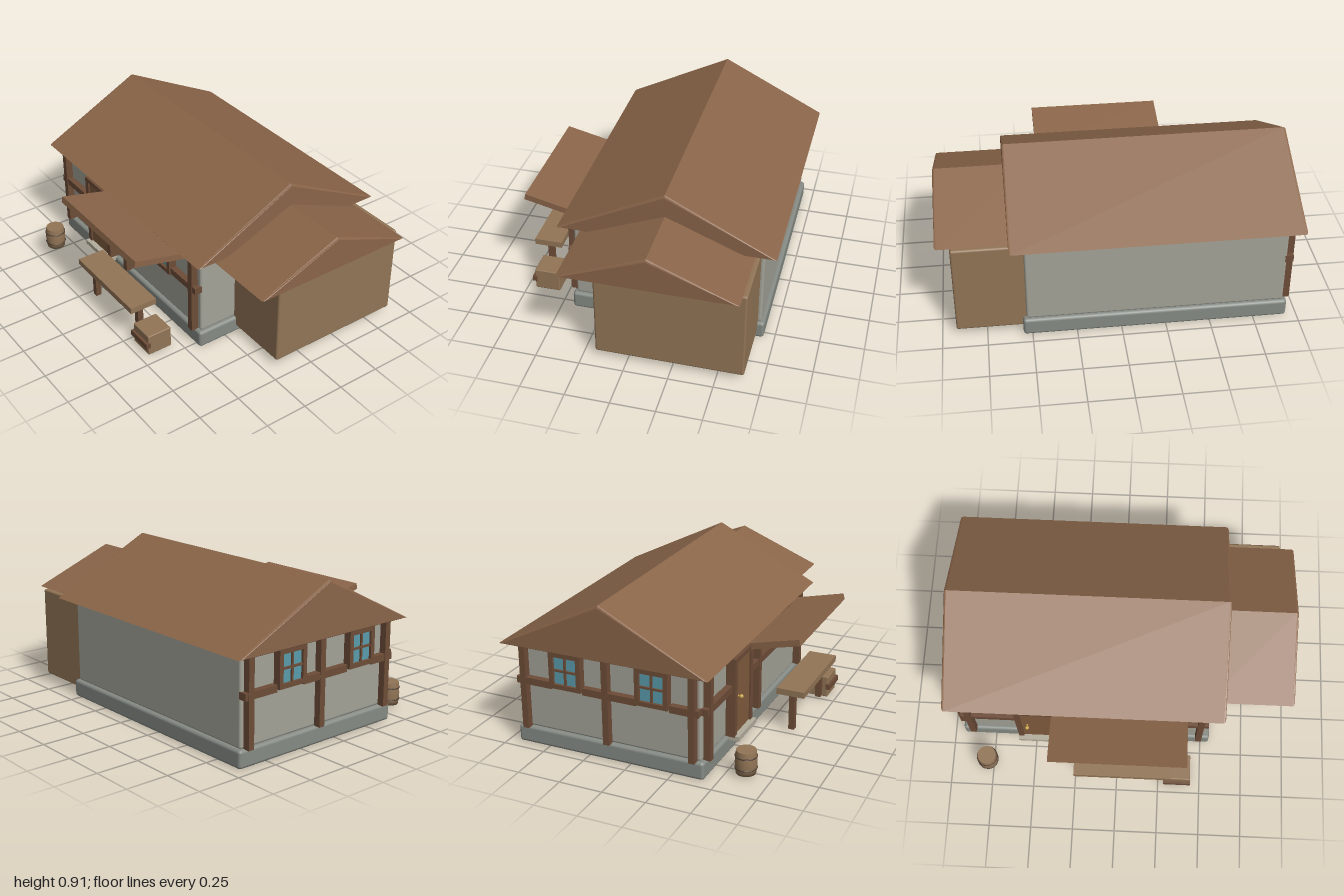
import * as THREE from 'three';
import { RoundedBoxGeometry } from 'three/addons/geometries/RoundedBoxGeometry.js';

const mat = (color) => new THREE.MeshStandardMaterial({ color });
const M = {
  roof: mat(0x8a6549), wall: mat(0xa3a398), stone: mat(0x868b85), plank: mat(0x927556),
  trim: mat(0x6e4d38), door: mat(0x805c3c), glass: mat(0x5a9bab), step: mat(0xb3ad9c),
  brass: mat(0xc9a24a), band: mat(0x4a3a2e),
};

function add(parent, name, geometry, material) {
  const mesh = new THREE.Mesh(geometry, material);
  mesh.name = name;
  parent.add(mesh);
  return mesh;
}

// Box given by its limits on each axis, optionally with rounded edges
function box(parent, name, material, [x0, x1], [y0, y1], [z0, z1], r = 0) {
  const size = [x1 - x0, y1 - y0, z1 - z0];
  const geometry = r ? new RoundedBoxGeometry(...size, 2, r) : new THREE.BoxGeometry(...size);
  const mesh = add(parent, name, geometry, material);
  mesh.position.set((x0 + x1) / 2, (y0 + y1) / 2, (z0 + z1) / 2);
  return mesh;
}

// Solid gable roof with its ridge along x and softened ends
function gable(parent, name, [x0, x1], [y0, y1], [z0, z1]) {
  const b = 0.012;
  const shape = new THREE.Shape();
  shape.moveTo(-z1, y0);
  shape.lineTo(-z0, y0);
  shape.lineTo(-(z0 + z1) / 2, y1);
  shape.closePath();
  const geometry = new THREE.ExtrudeGeometry(shape, {
    depth: x1 - x0 - 2 * b, bevelThickness: b, bevelSize: b, bevelOffset: -b, bevelSegments: 2,
  });
  geometry.rotateY(Math.PI / 2);
  geometry.translate(x0 + b, 0, 0);
  return add(parent, name, geometry, M.roof);
}

// Four-pane window facing +z, centred on its own origin
function makeWindow(name) {
  const g = new THREE.Group();
  g.name = name;
  const w = 0.095, h = 0.105, f = 0.026;
  const shape = new THREE.Shape();
  shape.moveTo(-w, -h).lineTo(w, -h).lineTo(w, h).lineTo(-w, h).closePath();
  const hole = new THREE.Path();
  hole.moveTo(f - w, f - h).lineTo(f - w, h - f).lineTo(w - f, h - f).lineTo(w - f, f - h).closePath();
  shape.holes.push(hole);
  add(g, 'windowFrame', new THREE.ExtrudeGeometry(shape, { depth: 0.045, bevelEnabled: false }), M.trim);
  box(g, 'windowGlass', M.glass, [f - w, w - f], [f - h, h - f], [0, 0.03]);
  box(g, 'windowBarVertical', M.trim, [-0.006, 0.006], [f - h, h - f], [0.02, 0.04]);
  box(g, 'windowBarHorizontal', M.trim, [f - w, w - f], [-0.006, 0.006], [0.02, 0.04]);
  return g;
}

export function createModel() {
  const house = new THREE.Group();
  house.name = 'house';

  // Main body
  box(house, 'foundation', M.stone, [-0.94, 0.55], [0, 0.103], [-0.69, 0.43], 0.018);
  box(house, 'walls', M.wall, [-0.92, 0.53], [0.1, 0.605], [-0.67, 0.41], 0.014);
  gable(house, 'mainRoof', [-1, 0.61], [0.6, 0.91], [-0.745, 0.48]);

  // Side extension
  box(house, 'extension', M.plank, [0.48, 0.92], [0.04, 0.58], [-0.65, 0.18], 0.012);
  gable(house, 'extensionRoof', [0.48, 1], [0.58, 0.78], [-0.625, 0.355]);

  // Timber framing on the front and the gable end
  for (const x of [-0.877, -0.198, 0.482])
    box(house, 'frontPost', M.trim, [x - 0.018, x + 0.018], [0.1, 0.6], [0.4, 0.452]);
  for (const span of [[-0.92, -0.6], [-0.335, 0.1], [0.29, 0.528]])
    box(house, 'frontRail', M.trim, span, [0.367, 0.407], [0.4, 0.447]);
  for (const z of [-0.63, -0.13, 0.37])
    box(house, 'sidePost', M.trim, [-0.96, -0.91], [0.1, 0.6], [z - 0.018, z + 0.018]);
  for (const span of [[-0.67, -0.455], [-0.265, 0.055], [0.245, 0.41]])
    box(house, 'sideRail', M.trim, [-0.957, -0.91], [0.367, 0.407], span);

  // Windows
  const front = makeWindow('frontWindow');
  front.position.set(0.196, 0.468, 0.412);
  house.add(front);
  for (const z of [-0.36, 0.15]) {
    const side = makeWindow('sideWindow');
    side.position.set(-0.93, 0.488, z);
    side.rotation.y = -Math.PI / 2;
    house.add(side);
  }

  // Door with frame, knob and step
  const door = new THREE.Group();
  door.name = 'door';
  house.add(door);
  for (const x of [-0.584, -0.361])
    box(door, 'doorJamb', M.trim, [x - 0.016, x + 0.016], [0.1, 0.56], [0.4, 0.465]);
  box(door, 'doorLintel', M.trim, [-0.6, -0.345], [0.532, 0.56], [0.4, 0.465]);
  box(door, 'doorPanel', M.door, [-0.57, -0.375], [0.105, 0.535], [0.4, 0.455]);
  add(door, 'doorKnob', new THREE.SphereGeometry(0.012, 16, 12), M.brass).position.set(-0.535, 0.322, 0.474);
  add(door, 'knobStem', new THREE.CylinderGeometry(0.006, 0.006, 0.02, 12).rotateX(Math.PI / 2), M.brass)
    .position.set(-0.535, 0.322, 0.461);
  box(door, 'doorStep', M.step, [-0.6, -0.342], [0.08, 0.108], [0.42, 0.488]);

  // Awning tilting up away from the wall
  const awning = box(house, 'awning', M.roof, [-0.38, 0.397], [0, 0.036], [0, 0.37]);
  awning.position.set(0.0085, 0.576, 0.561);
  awning.rotation.x = -0.235;

  // Bench
  box(house, 'benchTop', M.plank, [-0.25, 0.32], [0.232, 0.268], [0.568, 0.732]);
  for (const x of [-0.198, 0.268])
    box(house, 'benchLeg', M.trim, [x - 0.017, x + 0.017], [0.01, 0.235], [0.633, 0.667]);

  // Crate
  box(house, 'crate', M.plank, [0.285, 0.438], [0.003, 0.132], [0.55, 0.7], 0.006);
  box(house, 'crateSlat', M.trim, [0.281, 0.442], [0.053, 0.086], [0.688, 0.715]);

  // Barrel with two hoops
  const barrel = new THREE.Group();
  barrel.name = 'barrel';
  barrel.position.set(-0.782, 0.016, 0.605);
  const profile = [[0, 0], [0.054, 0], [0.058, 0.03], [0.06, 0.067], [0.058, 0.104], [0.054, 0.134]];
  add(barrel, 'barrelStaves', new THREE.LatheGeometry(profile.map((p) => new THREE.Vector2(...p)), 28), M.plank);
  add(barrel, 'barrelLid', new THREE.CylinderGeometry(0.054, 0.054, 0.01, 28), M.plank).position.y = 0.129;
  for (const y of [0.033, 0.101])
    add(barrel, 'barrelHoop', new THREE.TorusGeometry(0.058, 0.004, 8, 28).rotateX(Math.PI / 2), M.band).position.y = y;
  house.add(barrel);

  return house;
}
